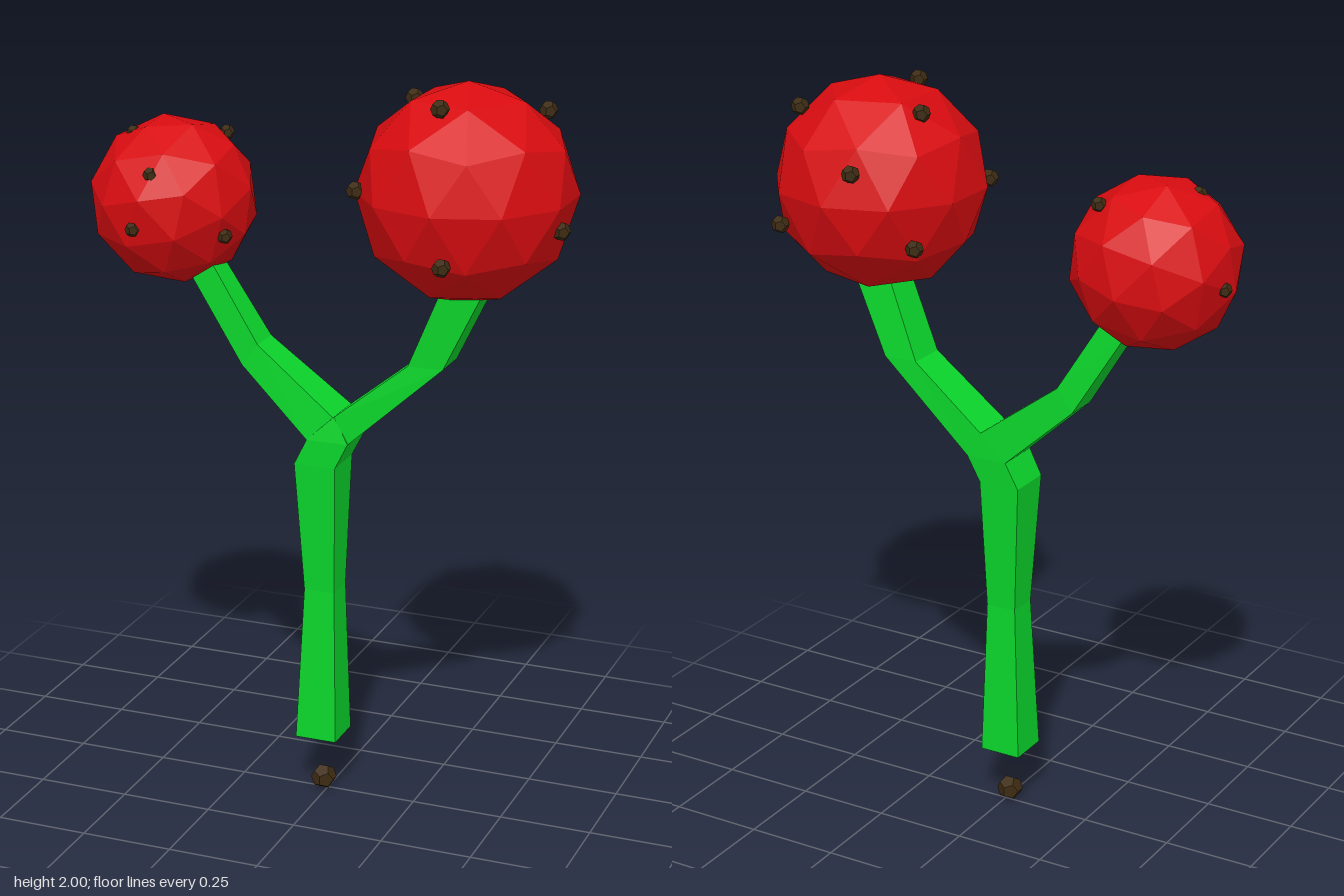
import * as THREE from 'three';

const paint = (color, side = THREE.FrontSide) =>
  new THREE.MeshStandardMaterial({ color, flatShading: true, side });
const green = paint(0x0bd52b, THREE.DoubleSide);
const red = paint(0xd80c10);
const brown = paint(0x3d2b12);

// Open four-sided tube through sections [leftX, leftY, rightX, rightY, frontZ, backZ]
function limb(name, sections) {
  const pos = [], idx = [];
  for (const [lx, ly, rx, ry, f, b] of sections)
    pos.push(lx, ly, f, rx, ry, f, rx, ry, b, lx, ly, b);
  for (let s = 0; s < sections.length - 1; s++)
    for (let k = 0; k < 4; k++) {
      const a = s * 4 + k, b = s * 4 + (k + 1) % 4;
      idx.push(a, b, b + 4, a, b + 4, a + 4);
    }
  const geo = new THREE.BufferGeometry();
  geo.setAttribute('position', new THREE.Float32BufferAttribute(pos, 3));
  geo.setIndex(idx);
  geo.computeVertexNormals();
  const mesh = new THREE.Mesh(geo, green);
  mesh.name = name;
  return mesh;
}

// Faceted ball with a corner pointing up
function berry(name, radius, center, tilt) {
  const geo = new THREE.IcosahedronGeometry(radius, 1);
  geo.rotateX(-Math.atan((1 + Math.sqrt(5)) / 2)).rotateY(Math.PI / 2);
  const mesh = new THREE.Mesh(geo, red);
  mesh.position.set(...center);
  mesh.rotation.set(...tilt);
  mesh.name = name;
  return mesh;
}

function seed(name, radius, center) {
  const mesh = new THREE.Mesh(new THREE.DodecahedronGeometry(radius), brown);
  mesh.position.set(...center);
  mesh.name = name;
  return mesh;
}

export function createModel() {
  const model = new THREE.Group();
  model.name = 'forkedBerryPlant';

  // Stem, closing to a point in the crotch of the fork
  model.add(limb('stem', [
    [-0.07, 0.17, 0.045, 0.17, 0.06, -0.055],
    [-0.05, 0.6, 0.035, 0.6, 0.045, -0.04],
    [-0.07, 0.96, 0.045, 0.96, 0.065, -0.06],
    [-0.035, 1.03, 0.08, 1.03, 0.065, -0.065],
    [0.04, 1.1, 0.04, 1.1, 0.055, -0.065],
  ]));

  // Two bent branches
  model.add(limb('rightBranch', [
    [-0.035, 1.03, 0.04, 1.1, 0.065, -0.065],
    [-0.23, 1.205, -0.185, 1.265, 0.035, -0.06],
    [-0.375, 1.44, -0.31, 1.47, 0.035, -0.04],
  ]));
  model.add(limb('leftBranch', [
    [0.04, 1.1, 0.08, 1.03, 0.06, -0.065],
    [0.24, 1.26, 0.335, 1.26, 0.05, -0.06],
    [0.33, 1.47, 0.44, 1.47, 0.06, -0.04],
  ]));

  // Berries
  model.add(berry('leftBerry', 0.284, [0.376, 1.718, 0], [0, 0, 0]));
  model.add(berry('rightBerry', 0.222, [-0.435, 1.628, -0.005], [0.3, 0.4, 0.2]));

  // Seeds stuck on the berries
  const seeds = {
    leftBerrySeed: [
      [0.355, 1.96, 0.155], [0.55, 1.92, -0.11], [0.3, 1.81, -0.26],
      [0.55, 1.63, -0.215], [0.64, 1.655, 0.05], [0.4, 1.59, 0.26],
      [0.125, 1.73, 0.13], [0.21, 1.935, -0.065], [0.17, 1.61, -0.17],
    ],
    rightBerrySeed: [
      [-0.525, 1.805, 0.043], [-0.42, 1.73, 0.17], [-0.46, 1.59, 0.2],
      [-0.33, 1.79, -0.115], [-0.25, 1.565, 0.09], [-0.47, 1.43, 0],
      [-0.64, 1.6, -0.04],
    ],
  };
  for (const [name, spots] of Object.entries(seeds))
    for (const spot of spots)
      model.add(seed(name, name === 'leftBerrySeed' ? 0.024 : 0.02, spot));

  // Loose seed below the stem
  model.add(seed('fallenSeed', 0.035, [-0.01, 0.036, 0.005]));
  return model;
}
